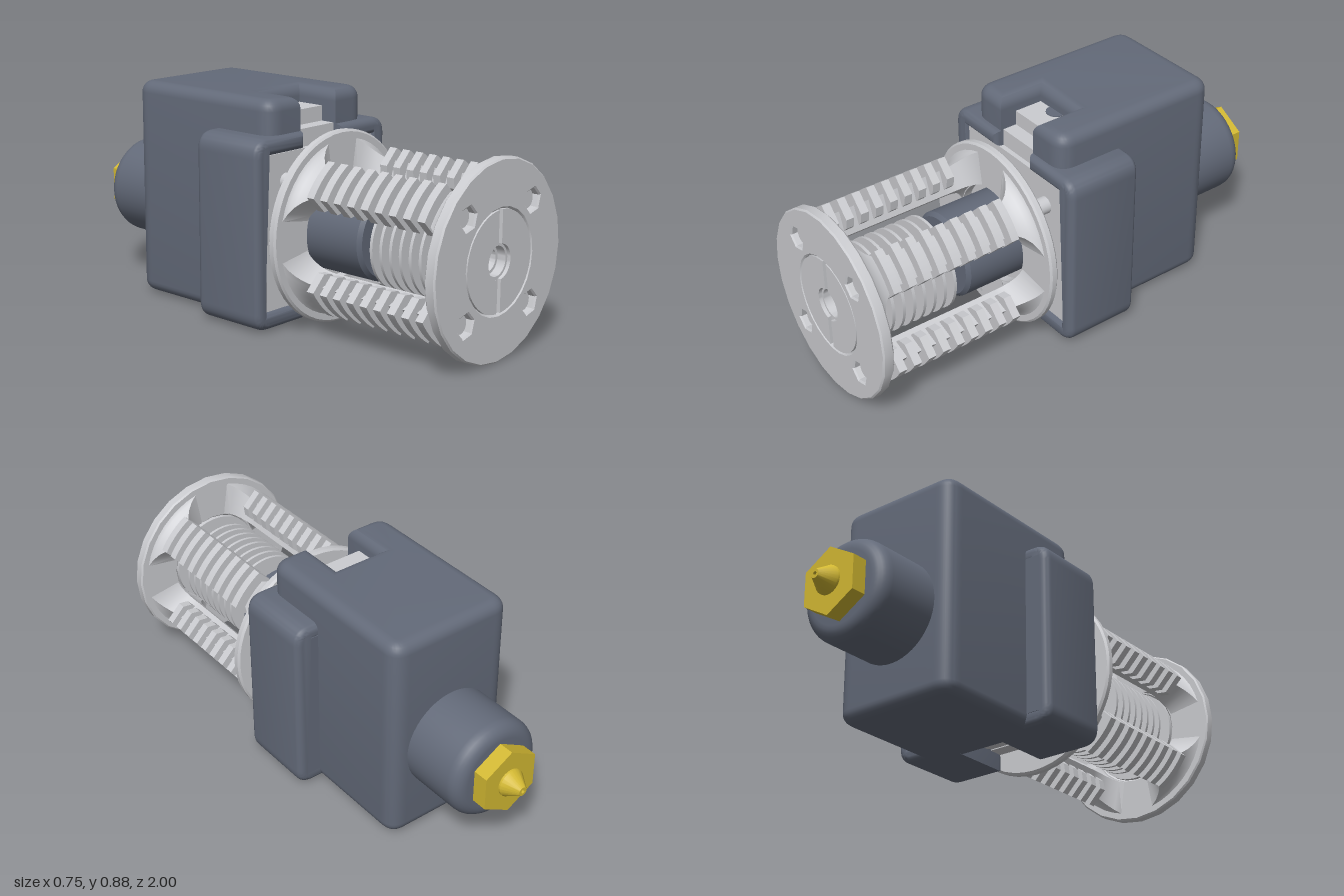
import * as THREE from 'three';
import { toCreasedNormals } from 'three/addons/utils/BufferGeometryUtils.js';

const CY = 0.377; // height of the long axis

function mat(name, color) {
  const m = new THREE.MeshStandardMaterial({ color });
  m.name = name;
  return m;
}

// closed profile of [radius, z], counter-clockwise, spun about the z axis
function turned(profile, segments = 48) {
  const pts = [...profile, profile[0]].map(([r, z]) => new THREE.Vector2(r, z));
  return toCreasedNormals(new THREE.LatheGeometry(pts, segments).rotateX(Math.PI / 2), 0.6);
}

// polygon of [x, y, cornerRadius]
function roundedShape(points) {
  const s = new THREE.Shape(), n = points.length;
  points.forEach(([x, y, r = 0], i) => {
    const p = new THREE.Vector2(x, y);
    const toward = ([a, b]) => p.clone().add(new THREE.Vector2(a, b).sub(p).setLength(r));
    const a = r ? toward(points[(i + n - 1) % n]) : p;
    const b = r ? toward(points[(i + 1) % n]) : p;
    if (i === 0) s.moveTo(a.x, a.y); else s.lineTo(a.x, a.y);
    if (r) s.quadraticCurveTo(x, y, b.x, b.y);
  });
  s.closePath();
  return s;
}

// extrusion of total length `length` with rounded rims that stay inside the shape
function extruded(shape, length, bevel = 0, crease = 0.6) {
  const g = new THREE.ExtrudeGeometry(shape, {
    depth: length - 2 * bevel, bevelEnabled: bevel > 0, bevelThickness: bevel,
    bevelSize: bevel, bevelOffset: -bevel, bevelSegments: bevel > 0.02 ? 6 : 1, curveSegments: 12,
  });
  return toCreasedNormals(g.translate(0, 0, bevel), crease);
}

// cage strut: a sector that widens into a full quarter ring at both ends
function strutGeometry() {
  const stations = [], steps = 8, len = 0.12, z0 = 0.255, z1 = 0.965;
  for (let k = steps; k >= 0; k--) {
    const u = (k / steps) * Math.PI / 2;
    stations.push([z0 + len - len * Math.sin(u), 1 - Math.cos(u)]);
  }
  for (let k = 0; k <= steps; k++) {
    const u = (k / steps) * Math.PI / 2;
    stations.push([z1 - len + len * Math.sin(u), 1 - Math.cos(u)]);
  }
  const pos = [], index = [], nOut = 9, nIn = 5, n = nOut + nIn;
  for (const [z, f] of stations) {
    const R = 0.3 + 0.07 * f;
    const mix = (deg) => THREE.MathUtils.degToRad(deg + (45 - deg) * f);
    const ao = mix(11), ai = mix(4);
    for (let j = 0; j < nOut; j++) {
      const a = ao * (2 * j / (nOut - 1) - 1);
      pos.push(R * Math.cos(a), R * Math.sin(a), z);
    }
    for (let j = 0; j < nIn; j++) {
      const a = ai * (1 - 2 * j / (nIn - 1));
      pos.push(0.205 * Math.cos(a), 0.205 * Math.sin(a), z);
    }
  }
  for (let i = 0; i < stations.length - 1; i++) {
    for (let j = 0; j < n; j++) {
      const a = i * n + j, b = i * n + (j + 1) % n;
      index.push(a, b, b + n, a, b + n, a + n);
    }
  }
  const g = new THREE.BufferGeometry();
  g.setAttribute('position', new THREE.Float32BufferAttribute(pos, 3));
  g.setIndex(index);
  return toCreasedNormals(g, 0.6);
}

export function createModel() {
  const root = new THREE.Group();
  const metal = mat('light metal', 0xcbccd0);
  const rubber = mat('slate rubber', 0x636a79);
  const brass = mat('brass', 0xd2b832);

  const axis = new THREE.Group(); // parts centred on the long axis
  axis.name = 'axialParts';
  axis.position.y = CY;
  root.add(axis);

  const add = (parent, name, geometry, material, x = 0, y = 0, z = 0) => {
    const m = new THREE.Mesh(geometry, material);
    m.name = name;
    m.position.set(x, y, z);
    parent.add(m);
    return m;
  };

  // cage: front plate with hexagonal pockets, rear ring, four finned struts
  const plate = new THREE.Shape().absarc(0, 0, 0.375, 0, Math.PI * 2);
  plate.holes.push(new THREE.Path().absarc(0, 0, 0.194, 0, Math.PI * 2, true));
  const quarter = [0, 1, 2, 3].map((k) => Math.PI / 4 + k * Math.PI / 2);
  for (const q of quarter) {
    const hex = [];
    for (let i = 0; i < 6; i++) {
      const a = -i * Math.PI / 3 + 0.25;
      hex.push(new THREE.Vector2(0.27 * Math.cos(q) + 0.045 * Math.cos(a), 0.27 * Math.sin(q) + 0.045 * Math.sin(a)));
    }
    plate.holes.push(new THREE.Path(hex));
  }
  add(axis, 'cageFrontPlate', extruded(plate, 0.045, 0.006), metal, 0, 0, 0.955);
  add(axis, 'cageRearRing', turned([[0.2, 0.23], [0.367, 0.23], [0.375, 0.238], [0.375, 0.258], [0.367, 0.265], [0.2, 0.265]]), metal);

  const strut = strutGeometry();
  const finShape = new THREE.Shape();
  finShape.moveTo(0.225, 0.05).lineTo(0.225, -0.05).lineTo(0.25, -0.083);
  finShape.absarc(0, 0, 0.345, -0.243, 0.243, false);
  finShape.lineTo(0.25, 0.083);
  finShape.closePath();
  const fin = extruded(finShape, 0.033);
  const rod = new THREE.CylinderGeometry(0.034, 0.034, 0.12, 20).rotateX(Math.PI / 2);
  const head = new THREE.CylinderGeometry(0.036, 0.036, 0.02, 20).rotateX(Math.PI / 2);
  for (const q of quarter) {
    const g = new THREE.Group();
    g.name = 'cageStrut';
    g.rotation.z = q;
    axis.add(g);
    add(g, 'strutCore', strut, metal);
    for (let i = 0; i < 9; i++) add(g, 'strutFin', fin, metal, 0, 0, 0.352 + i * 0.0635);
    add(g, 'mountingRod', rod, metal, 0.27, 0, 0.19);
    add(g, 'screwHead', head, metal, 0.27, 0, 0.965);
  }

  // heat sink: bored shaft, thin discs and a slotted front flange
  add(axis, 'heatSinkShaft', turned([
    [0.033, 0.505], [0.09, 0.505], [0.09, 0.945], [0.193, 0.945], [0.193, 0.985],
    [0.056, 0.985], [0.056, 0.95], [0.045, 0.95], [0.045, 0.9], [0.033, 0.88],
  ]), metal);
  const disc = turned([[0.08, -0.006], [0.185, -0.006], [0.185, 0.006], [0.08, 0.006]]);
  for (let i = 0; i < 8; i++) add(axis, 'heatSinkDisc', disc, metal, 0, 0, 0.565 + i * 0.045);
  const half = new THREE.Shape();
  const so = Math.asin(0.011 / 0.19), si = Math.asin(0.011 / 0.066);
  half.absarc(0, 0, 0.19, -Math.PI / 2 + so, Math.PI / 2 - so, false);
  half.absarc(0, 0, 0.066, Math.PI / 2 - si, -Math.PI / 2 + si, true);
  half.closePath();
  const flange = extruded(half, 0.02);
  for (const turn of [0, Math.PI]) add(axis, 'slottedFlangeHalf', flange, metal, 0, 0, 0.979).rotation.z = turn;
  add(axis, 'boreFunnel', new THREE.CircleGeometry(0.035, 20), brass, 0, 0, 0.53);

  // soft sleeve between heat sink and block
  add(axis, 'sleeve', turned([[0.001, 0.1], [0.172, 0.1], [0.172, 0.485], [0.158, 0.5], [0.03, 0.5], [0.03, 0.515], [0.001, 0.515]]), rubber);

  // main cover: a U-shaped plan with a channel at the front, extruded upward
  const plan = roundedShape([
    [-0.268, -0.14, 0.07], [-0.1, -0.14], [-0.1, 0.05], [0.1, 0.05], [0.1, -0.14],
    [0.268, -0.14, 0.07], [0.268, 0.6, 0.07], [-0.268, 0.6, 0.07],
  ]);
  add(root, 'mainCover', extruded(plan, 0.872, 0.046).rotateX(-Math.PI / 2), rubber, 0, 0.008, 0);

  // side wings: a lip that wraps each half of the block, with a filled back
  const lip = roundedShape([
    [0.1, 0.008], [0.369, 0.008, 0.07], [0.369, 0.746, 0.07], [0.1, 0.746],
    [0.1, 0.68], [0.302, 0.68], [0.302, 0.076], [0.1, 0.076],
  ]);
  const lipGeometry = extruded(lip, 0.325, 0.03);
  for (const side of [0, 1]) {
    const g = new THREE.Group();
    g.name = side ? 'rightWing' : 'leftWing';
    root.add(g);
    // a half turn about the vertical followed by a shift mirrors the symmetric lip
    g.rotation.y = side * Math.PI;
    g.position.z = side * 0.015;
    add(g, 'wingLip', lipGeometry, rubber, 0, 0, -0.155);
    add(g, 'wingBack', new THREE.BoxGeometry(0.13, 0.64, 0.22), rubber, 0.27, 0.377, side ? 0.06 : -0.045);
  }

  // heater block seen in the front recess and in the channel
  add(root, 'blockFace', new THREE.BoxGeometry(0.604, 0.604, 0.06), metal, 0, 0.378, 0.12);
  add(root, 'blockCore', new THREE.BoxGeometry(0.199, 0.734, 0.12), metal, 0, 0.443, 0.01);
  add(root, 'blockStep', new THREE.BoxGeometry(0.199, 0.67, 0.06), metal, 0, 0.415, 0.1);
  const screw = new THREE.CylinderGeometry(0.04, 0.04, 0.006, 20, 1, false, -Math.PI / 2, Math.PI);
  add(root, 'blockScrew', screw, rubber, 0, 0.811, -0.048);

  // rounded boss, hexagonal nozzle and tip at the back
  const boss = [[0.001, -0.87]];
  for (let i = 0; i <= 6; i++) {
    const a = (i / 6) * Math.PI / 2;
    boss.push([0.145 + 0.055 * Math.sin(a), -0.815 - 0.055 * Math.cos(a)]);
  }
  boss.push([0.2, -0.55], [0.001, -0.55]);
  add(axis, 'rearBoss', turned(boss), rubber);
  const nut = toCreasedNormals(new THREE.CylinderGeometry(0.135, 0.135, 0.07, 6).rotateX(Math.PI / 2), 0.3);
  add(axis, 'nozzleHex', nut, brass, 0, 0, -0.897);
  add(axis, 'nozzleTip', turned([[0.008, -1], [0.018, -1], [0.056, -0.94], [0.056, -0.92], [0.008, -0.92]], 24), brass);

  return root;
}
